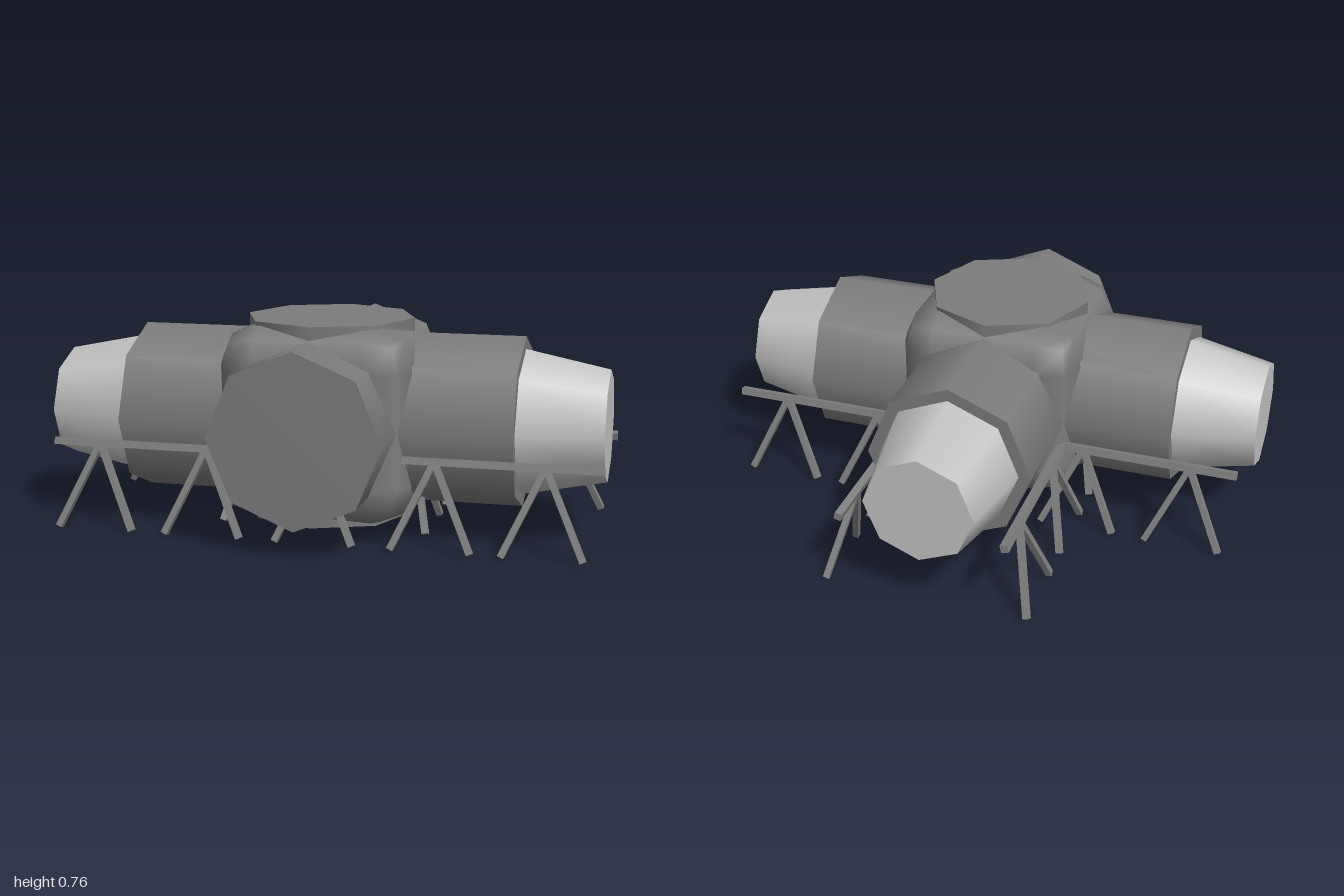
import * as THREE from 'three';
import { RoundedBoxGeometry } from 'three/addons/geometries/RoundedBoxGeometry.js';

const SIDES = 8;
const CX = -0.005, CY = 0.4, CZ = 0.245; // hub centre

function material(name, color) {
  const m = new THREE.MeshStandardMaterial({ color });
  m.name = name;
  return m;
}

export function createModel() {
  const hullGrey = material('hull grey', 0x7c7c7c);
  const paleGrey = material('pale grey', 0xc4c4c4);
  const strutGrey = material('strut grey', 0x808080);

  const model = new THREE.Group();
  model.name = 'moduleStation';

  function add(parent, name, geometry, mat, x = 0, y = 0, z = 0) {
    const mesh = new THREE.Mesh(geometry, mat);
    mesh.name = name;
    mesh.position.set(x, y, z);
    parent.add(mesh);
    return mesh;
  }

  // Central hub with bevelled edges, and the upright drum through it
  add(model, 'hub', new RoundedBoxGeometry(0.704, 0.704, 0.704, 1, 0.153), hullGrey, CX, CY, CZ);
  add(model, 'uprightDrum', new THREE.CylinderGeometry(0.305, 0.305, 0.706, SIDES), hullGrey, CX, 0.402, CZ);

  // Horizontal arms
  add(model, 'crossArm', new THREE.CylinderGeometry(0.305, 0.305, 1.4, SIDES).rotateZ(Math.PI / 2),
    hullGrey, CX, CY, CZ);
  add(model, 'longArm', new THREE.CylinderGeometry(0.305, 0.305, 1.22, SIDES).rotateX(Math.PI / 2),
    hullGrey, CX, CY, 0.1525);

  // Tapered end sections on three arms
  const taper = (length) => new THREE.CylinderGeometry(0.2, 0.26, length, SIDES);
  add(model, 'leftEnd', taper(0.295).rotateZ(-Math.PI / 2), paleGrey, 0.8425, CY, CZ);
  add(model, 'rightEnd', taper(0.295).rotateZ(Math.PI / 2), paleGrey, -0.8525, CY, CZ);
  add(model, 'backEnd', taper(0.31).rotateX(-Math.PI / 2), paleGrey, CX, CY, -0.61);

  // A rail on splayed pairs of legs, leaning outward (towards local +z)
  const HALF_SPREAD = 0.138, DROP = 0.306;
  const legLength = Math.hypot(HALF_SPREAD, DROP);
  const legAngle = Math.atan2(HALF_SPREAD, DROP);

  function trestle(name, angle, x, z, start, end, apexes) {
    const holder = new THREE.Group();
    holder.name = name;
    holder.position.set(x, 0.303, z);
    holder.rotation.y = angle;
    const frame = new THREE.Group();
    frame.name = 'leaningFrame';
    frame.rotation.x = -0.24;
    holder.add(frame);
    add(frame, 'rail', new THREE.BoxGeometry(Math.abs(end - start), 0.027, 0.027), strutGrey, (start + end) / 2);
    for (const apex of apexes) {
      for (const side of [-1, 1]) {
        const leg = add(frame, 'leg', new THREE.BoxGeometry(0.023, legLength, 0.023), strutGrey,
          apex + side * HALF_SPREAD / 2, -DROP / 2, 0);
        leg.rotation.z = side * legAngle;
      }
    }
    model.add(holder);
  }

  // Trestles along the cross arm, front and back
  const crossApexes = [-0.79, -0.39, 0.015, 0.425, 0.805];
  trestle('frontTrestle', 0, 0, 0.513, -0.963, 1, crossApexes);
  trestle('backTrestle', Math.PI, 0, -0.056, 0.963, -1, crossApexes.map((a) => -a));

  // Trestles along the long arm, left and right
  const longApexes = [-0.58, -0.175, 0.235];
  trestle('leftTrestle', Math.PI / 2, 0.297, 0, 0.75, -0.4, longApexes.map((a) => -a));
  trestle('rightTrestle', -Math.PI / 2, -0.307, 0, -0.75, 0.4, longApexes);

  return model;
}
